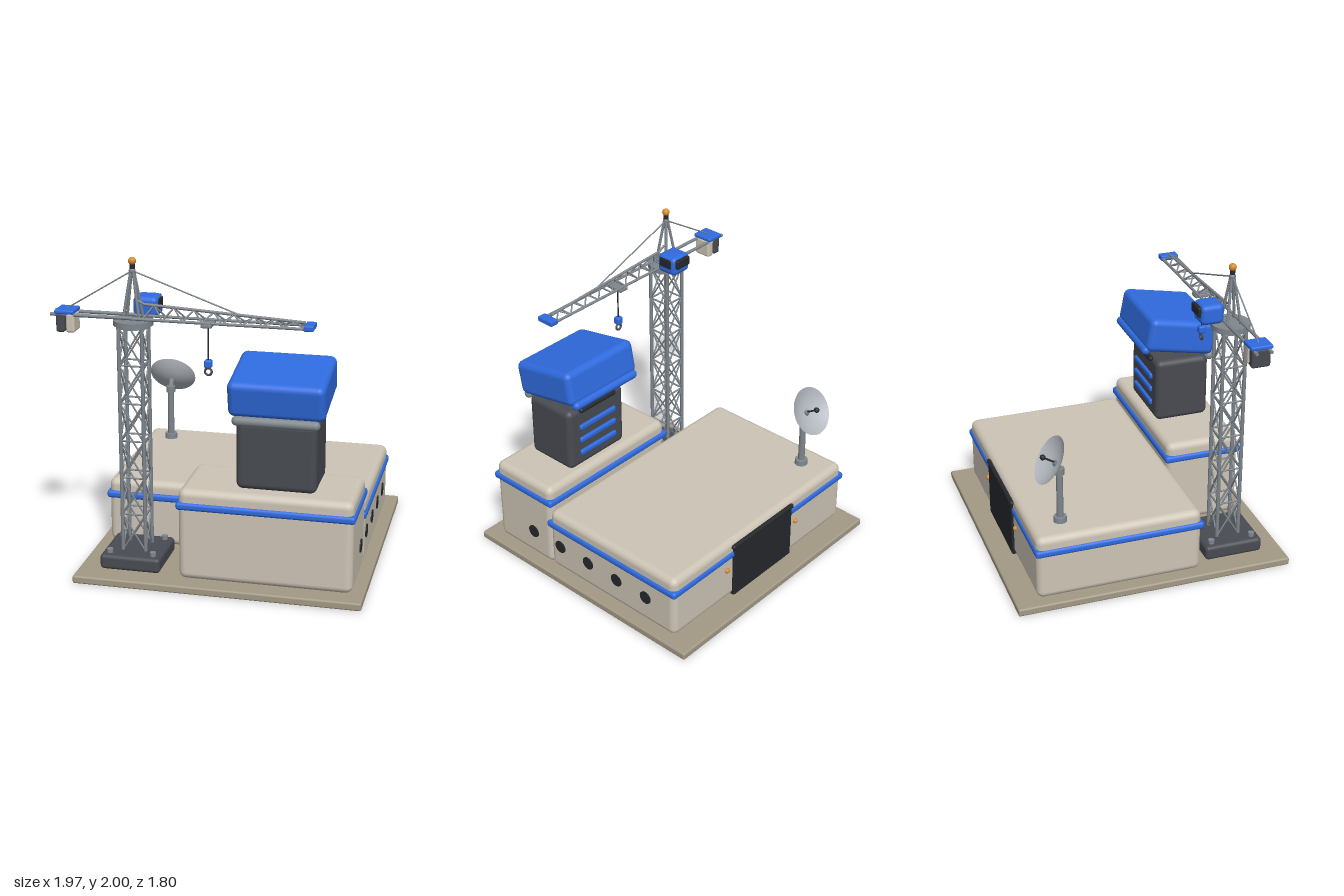
import * as THREE from 'three';
import { RoundedBoxGeometry } from 'three/addons/geometries/RoundedBoxGeometry.js';

const mat = (color, side = THREE.FrontSide) => new THREE.MeshStandardMaterial({ color, side });
const BEIGE = mat(0xcdc4b5), SAND = mat(0xa39a86), BLUE = mat(0x2f6bdf), DARK = mat(0x484b52);
const STEEL = mat(0x7f878d), BLACK = mat(0x26282c), ORANGE = mat(0xd98a2b);
const DISH = mat(0xb2b7be, THREE.DoubleSide);
const V = (x, y, z) => new THREE.Vector3(x, y, z);

function add(parent, name, geometry, material, x = 0, y = 0, z = 0) {
  const mesh = new THREE.Mesh(geometry, material);
  mesh.name = name;
  mesh.position.set(x, y, z);
  parent.add(mesh);
  return mesh;
}

// rounded box given by its extents on each axis
function block(parent, name, [x0, x1], [y0, y1], [z0, z1], r, material) {
  const geo = new RoundedBoxGeometry(x1 - x0, y1 - y0, z1 - z0, 4, r);
  return add(parent, name, geo, material, (x0 + x1) / 2, (y0 + y1) / 2, (z0 + z1) / 2);
}

// round bar between two points
function rod(parent, name, a, b, r, material = STEEL, sides = 10) {
  const mesh = add(parent, name, new THREE.CylinderGeometry(r, r, a.distanceTo(b), sides), material);
  mesh.position.copy(a).lerp(b, 0.5);
  mesh.quaternion.setFromUnitVectors(V(0, 1, 0), b.clone().sub(a).normalize());
  return mesh;
}

// bar with round ends lying along x
function capsule(parent, name, x0, x1, y, z, r, material) {
  const mesh = add(parent, name, new THREE.CapsuleGeometry(r, x1 - x0 - 2 * r, 6, 16), material, (x0 + x1) / 2, y, z);
  mesh.rotation.z = Math.PI / 2;
}

function group(parent, name, x = 0, y = 0, z = 0) {
  const g = new THREE.Group();
  g.name = name;
  g.position.set(x, y, z);
  parent.add(g);
  return g;
}

function buildHalls(root) {
  const g = group(root, 'buildings');
  block(g, 'rearHall', [-0.745, 0.912], [0.05, 0.48], [-0.757, 0.315], 0.045, BEIGE);
  block(g, 'rearHallBand', [-0.758, 0.925], [0.352, 0.402], [-0.768, 0.33], 0.02, BLUE);
  block(g, 'frontHall', [-0.162, 0.912], [0.05, 0.636], [0.3, 0.797], 0.045, BEIGE);
  block(g, 'frontHallBand', [-0.175, 0.925], [0.506, 0.556], [0.285, 0.81], 0.02, BLUE);
  for (const z of [0.465, 0.22, -0.027, -0.273, -0.52]) {
    const p = add(g, 'porthole', new THREE.CylinderGeometry(0.043, 0.043, 0.02, 28), BLACK, 0.908, 0.237, z);
    p.rotation.z = Math.PI / 2;
  }
  // rear gate with roller and side lamps
  block(g, 'gate', [-0.2, 0.37], [0.05, 0.43], [-0.772, -0.74], 0.008, BLACK);
  capsule(g, 'gateRoller', -0.215, 0.385, 0.435, -0.765, 0.016, BLACK);
  for (const x of [-0.255, 0.425]) add(g, 'gateLamp', new THREE.SphereGeometry(0.017, 16, 12), ORANGE, x, 0.28, -0.76);
}

function buildVentTower(root) {
  const g = group(root, 'ventTower');
  block(g, 'towerBody', [0.178, 0.67], [0.636, 1.07], [0.345, 0.71], 0.04, DARK);
  capsule(g, 'frontRoll', 0.155, 0.69, 1.073, 0.712, 0.03, STEEL);
  capsule(g, 'rearRoll', 0.265, 0.585, 1.06, 0.337, 0.017, BLACK);
  for (const y of [0.742, 0.837, 0.932]) block(g, 'ventBar', [0.265, 0.585], [y - 0.019, y + 0.019], [0.327, 0.355], 0.012, BLUE);
  // tilted hood
  const hood = add(g, 'hood', new RoundedBoxGeometry(0.59, 0.228, 0.476, 5, 0.042), BLUE, 0.425, 1.246, 0.51);
  hood.rotation.x = 0.19;
  capsule(g, 'hoodRearRoll', 0.148, 0.702, 1.177, 0.265, 0.029, BLUE);
}

function buildDish(root) {
  const g = group(root, 'antenna', -0.565, 0, -0.555);
  add(g, 'mastFoot', new THREE.CylinderGeometry(0.04, 0.043, 0.036, 24), STEEL, 0, 0.497, 0);
  add(g, 'mast', new THREE.CylinderGeometry(0.02, 0.022, 0.36, 20), STEEL, 0, 0.66, 0);
  add(g, 'mastHead', new THREE.CylinderGeometry(0.031, 0.031, 0.042, 20), STEEL, 0, 0.832, 0);
  rod(g, 'dishBracket', V(0, 0.84, 0), V(0, 0.9, -0.03), 0.018);
  // local +y is the dish axis, aimed up and to the rear
  const head = group(g, 'dishHead', 0, 0.918, -0.062);
  head.quaternion.setFromUnitVectors(V(0, 1, 0), V(0, 0.53, -0.85).normalize());
  const R = 0.157, depth = 0.05, profile = [];
  for (let i = 0; i <= 10; i++) profile.push(new THREE.Vector2(R * i / 10, depth * ((i / 10) ** 2 - 1)));
  add(head, 'dish', new THREE.LatheGeometry(profile, 48), DISH);
  rod(head, 'feedArm', V(0, -depth, 0), V(0, 0.045, 0), 0.006, BLACK);
  add(head, 'feed', new THREE.SphereGeometry(0.018, 16, 12), BLACK, 0, 0.047, 0);
}

function buildCraneTower(crane) {
  block(crane, 'craneFoot', [-0.192, 0.192], [0.05, 0.147], [-0.192, 0.192], 0.025, DARK);
  for (const x of [-1, 1]) for (const z of [-1, 1])
    add(crane, 'footBolt', new THREE.CylinderGeometry(0.02, 0.02, 0.03, 16), STEEL, x * 0.138, 0.157, z * 0.138);

  // square lattice mast: one leg and one braced face, turned four times
  const w = 0.073, y0 = 0.145, bay = 0.24;
  for (let f = 0; f < 4; f++) {
    const face = group(crane, 'mastFace');
    face.rotation.y = f * Math.PI / 2;
    rod(face, 'mastLeg', V(w, y0, w), V(w, 1.59, w), 0.012);
    for (let i = 0; i < 6; i++) {
      const a = y0 + i * bay, b = a + bay;
      rod(face, 'mastBrace', V(-w, a, w), V(w, b, w), 0.0055, STEEL, 8);
      rod(face, 'mastBrace', V(w, a, w), V(-w, b, w), 0.0055, STEEL, 8);
      rod(face, 'mastRung', V(-w, b, w), V(w, b, w), 0.006, STEEL, 8);
    }
  }
  add(crane, 'slewRing', new THREE.CylinderGeometry(0.122, 0.122, 0.032, 40), STEEL, 0, 1.603, 0);
  add(crane, 'slewCollar', new THREE.CylinderGeometry(0.105, 0.105, 0.014, 40), STEEL, 0, 1.581, 0);

  // peak frame with beacon
  for (const x of [-1, 1]) for (const z of [-1, 1]) rod(crane, 'peakLeg', V(x * 0.052, 1.61, z * 0.045), V(x * 0.008, 1.91, z * 0.008), 0.009);
  add(crane, 'peakKnob', new THREE.SphereGeometry(0.021, 18, 12), STEEL, 0, 1.917, 0);
  add(crane, 'beaconStem', new THREE.CylinderGeometry(0.016, 0.016, 0.04, 16), BLACK, 0, 1.945, 0);
  add(crane, 'beacon', new THREE.SphereGeometry(0.024, 20, 14), ORANGE, 0, 1.976, 0);
}

function buildCraneJib(crane) {
  const yb = 1.632, h = 0.047, x0 = 0.07, x1 = 1.05, n = 8;
  const top = x => 1.715 - 0.056 * (x - x0) / (x1 - x0);
  const step = (x1 - x0) / n;
  rod(crane, 'jibTopChord', V(x0, top(x0), 0), V(x1, top(x1), 0), 0.009);
  for (const s of [-1, 1]) {
    rod(crane, 'jibBottomChord', V(0, yb, s * h), V(1.06, yb, s * h), 0.009);
    rod(crane, 'counterRail', V(-0.507, 1.635, s * h), V(0, 1.635, s * h), 0.011);
    for (let i = 0; i < n; i++) {
      const a = x0 + i * step, m = a + step / 2, b = a + step;
      rod(crane, 'jibBrace', V(a, yb, s * h), V(m, top(m), 0), 0.005, STEEL, 8);
      rod(crane, 'jibBrace', V(m, top(m), 0), V(b, yb, s * h), 0.005, STEEL, 8);
    }
  }
  for (let i = 0; i <= n; i++) rod(crane, 'jibRung', V(x0 + i * step, yb, -h), V(x0 + i * step, yb, h), 0.005, STEEL, 8);
  rod(crane, 'jibRootPost', V(x0, top(x0), 0), V(0.02, 1.74, 0), 0.007);
  block(crane, 'jibTip', [1.048, 1.108], [1.619, 1.654], [-0.06, 0.06], 0.008, BLUE);

  // counterweights
  block(crane, 'counterweightCap', [-0.477, -0.355], [1.64, 1.667], [-0.07, 0.07], 0.01, BLUE);
  block(crane, 'darkCounterweight', [-0.472, -0.417], [1.525, 1.645], [-0.06, 0.06], 0.015, DARK);
  block(crane, 'lightCounterweight', [-0.409, -0.354], [1.525, 1.645], [-0.06, 0.06], 0.015, BEIGE);
  rod(crane, 'rearStay', V(0, 1.917, 0), V(-0.42, 1.662, 0), 0.0045);
  rod(crane, 'frontStay', V(0, 1.917, 0), V(0.66, top(0.66), 0), 0.0045);

  // cab hung on the rear side of the jib
  block(crane, 'cab', [-0.018, 0.137], [1.618, 1.747], [-0.195, -0.045], 0.032, BLUE);
  block(crane, 'cabSideWindow', [0.12, 0.143], [1.668, 1.73], [-0.168, -0.073], 0.008, BLACK);
  block(crane, 'cabRearWindow', [0.003, 0.122], [1.672, 1.735], [-0.212, -0.185], 0.01, BLACK);

  // trolley, cable and hook
  const t = group(crane, 'trolley', 0.463, 0, 0);
  block(t, 'trolleyBody', [-0.034, 0.034], [1.603, 1.628], [-0.06, 0.06], 0.008, STEEL);
  rod(t, 'cable', V(0, 1.61, 0), V(0, 1.39, 0), 0.0045, BLACK);
  block(t, 'hookBlock', [-0.023, 0.023], [1.345, 1.396], [-0.023, 0.023], 0.012, BLUE);
  add(t, 'hookRing', new THREE.TorusGeometry(0.021, 0.007, 10, 28), DARK, 0, 1.321, 0);
}

export function createModel() {
  const root = new THREE.Group();
  root.name = 'depot';
  block(root, 'groundSlab', [-0.81, 0.985], [0, 0.05], [-0.9, 0.9], 0.012, SAND);
  buildHalls(root);
  buildVentTower(root);
  buildDish(root);
  const crane = group(root, 'crane', -0.483, 0, 0.57);
  buildCraneTower(crane);
  buildCraneJib(crane);
  return root;
}
